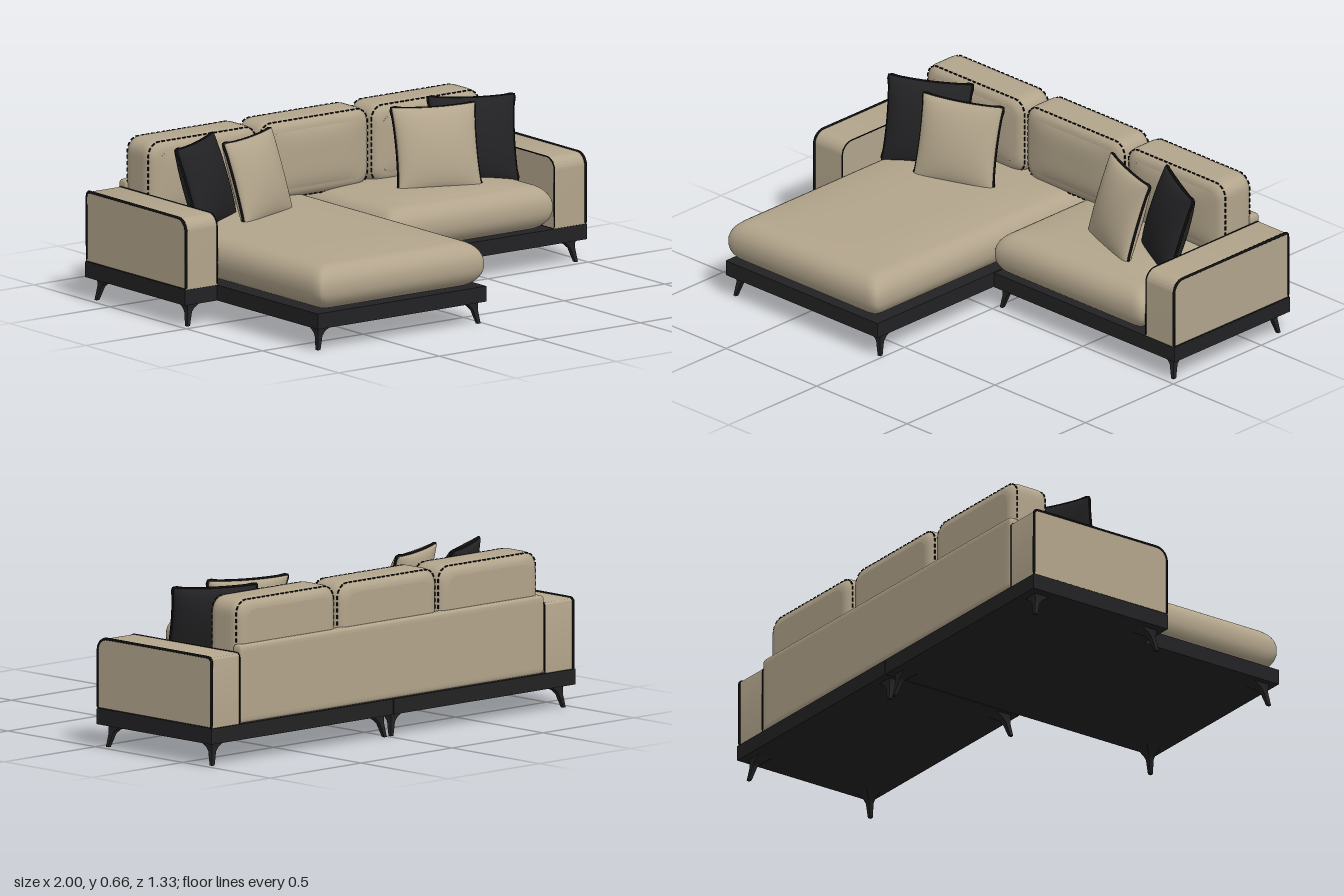
import * as THREE from 'three';
import { mergeVertices, mergeGeometries, toCreasedNormals } from 'three/addons/utils/BufferGeometryUtils.js';

const fabric = new THREE.MeshStandardMaterial({ color: 0xb3a58c });
fabric.name = 'beigeFabric';
const dark = new THREE.MeshStandardMaterial({ color: 0x222224 });
dark.name = 'charcoal';
const black = new THREE.MeshStandardMaterial({ color: 0x0e0e0e });
black.name = 'blackTrim';

function add(parent, name, geometry, material, x = 0, y = 0, z = 0) {
  const mesh = new THREE.Mesh(geometry, material);
  mesh.name = name;
  mesh.position.set(x, y, z);
  parent.add(mesh);
  return mesh;
}

// Apply a rule to every vertex, then weld and smooth
function reshape(geometry, rule) {
  const p = geometry.attributes.position, v = new THREE.Vector3();
  for (let i = 0; i < p.count; i++) {
    rule(v.fromBufferAttribute(p, i));
    p.setXYZ(i, v.x, v.y, v.z);
  }
  geometry.deleteAttribute('uv');
  geometry.deleteAttribute('normal');
  const welded = mergeVertices(geometry, 1e-5);
  welded.computeVertexNormals();
  return welded;
}

// Cushion: rounded plan corners, rounded rim and a crowned top
function cushion(w, h, d, edge, corner, crown) {
  return reshape(new THREE.BoxGeometry(2, 2, 2, 24, 16, 24), (v) => {
    const [sx, sy, sz] = v.toArray().map((t) => Math.sin(t * Math.PI / 2));
    let x = sx * w / 2, z = sz * d / 2;
    const cx = Math.max(0, Math.abs(x) - w / 2 + corner);
    const cz = Math.max(0, Math.abs(z) - d / 2 + corner);
    const k = Math.min(1, corner / (Math.hypot(cx, cz) || 1));
    x -= Math.sign(x) * cx * (1 - k);
    z -= Math.sign(z) * cz * (1 - k);
    const over = Math.max(0, Math.abs(sy) * h / 2 - h / 2 + edge) / edge;
    const inset = edge * (1 - Math.sqrt(Math.max(0, 1 - over * over)));
    const lift = sy > 0 ? sy * crown * (1 - sx ** 4) * (1 - sz ** 4) : 0;
    v.set(x * (1 - 2 * inset / w), sy * h / 2 + lift, z * (1 - 2 * inset / d));
  });
}

// Rounded rectangle outline in the XY plane, used for stitch lines
function roundedRect(w, h, r) {
  const s = new THREE.Shape(), a = w / 2, b = h / 2;
  s.absarc(a - r, b - r, r, 0, Math.PI / 2);
  s.absarc(-a + r, b - r, r, Math.PI / 2, Math.PI);
  s.absarc(-a + r, -b + r, r, Math.PI, Math.PI * 1.5);
  s.absarc(a - r, -b + r, r, Math.PI * 1.5, Math.PI * 2);
  s.closePath();
  return s;
}

// Row of short stitches following a flat outline
function stitches(outline, pitch, size) {
  const n = Math.round(outline.getLength() / pitch), dashes = [];
  for (let i = 0; i < n; i++) {
    const p = outline.getPointAt(i / n), t = outline.getTangentAt(i / n);
    dashes.push(new THREE.BoxGeometry(pitch * 0.6, size, size)
      .rotateZ(Math.atan2(t.y, t.x)).translate(p.x, p.y, 0));
  }
  return mergeGeometries(dashes);
}

// Outline point of a throw pillow, with pinched sides
function pillowPoint(u, v, s) {
  return [u * s * (1 - 0.05 * (1 - v * v)), v * s * (1 - 0.05 * (1 - u * u))];
}

function throwPillow(parent, name, material, x, z, turn) {
  const g = new THREE.Group(), s = 0.172;
  g.name = name;
  add(g, 'pillowBody', reshape(new THREE.BoxGeometry(2, 2, 2, 20, 2, 20).rotateX(Math.PI / 2), (v) => {
    const u = Math.sin(v.x * Math.PI / 2), w = Math.sin(v.y * Math.PI / 2);
    const puff = 0.008 + 0.05 * Math.sqrt(Math.max(0, (1 - u * u) * (1 - w * w)));
    v.set(...pillowPoint(u, w, s), v.z * puff);
  }), material);
  // Piping round the seam
  const pts = [];
  const sides = [[1, 0, 0, -1], [0, 1, 1, 0], [-1, 0, 0, 1], [0, -1, -1, 0]];
  for (const [dx, dy, ox, oy] of sides) {
    for (let i = 0; i < 8; i++) {
      const t = -1 + i / 4;
      pts.push(new THREE.Vector3(...pillowPoint(dx * t + ox, dy * t + oy, s), 0));
    }
  }
  const seam = new THREE.CatmullRomCurve3(pts, true);
  add(g, 'pillowPiping', new THREE.TubeGeometry(seam, 96, 0.006, 6, true), black);
  g.rotation.set(-0.3, turn, 0, 'YXZ');
  g.position.set(x, 0.49, z);
  parent.add(g);
}

// Side profile of an arm: drawn with z along the shape's x axis
function armProfile() {
  const s = new THREE.Shape(), back = -0.658, front = -0.01, top = 0.44;
  s.moveTo(back, 0.155);
  s.lineTo(front, 0.155);
  s.lineTo(front, top - 0.05);
  s.absarc(front - 0.05, top - 0.05, 0.05, 0, Math.PI / 2);
  s.lineTo(back + 0.015, top);
  s.absarc(back + 0.015, top - 0.015, 0.015, Math.PI / 2, Math.PI);
  s.closePath();
  return s;
}

function arm(parent, side) {
  const g = new THREE.Group(), profile = armProfile();
  g.name = side > 0 ? 'leftArm' : 'rightArm';
  const body = new THREE.ExtrudeGeometry(profile, { depth: 0.16, bevelEnabled: false, curveSegments: 10 });
  body.rotateY(-Math.PI / 2).translate(0.08, 0, 0);
  add(g, 'armBody', toCreasedNormals(body, 0.6), fabric, side * 0.917);
  for (const [x, r] of [[0.994, 0.006], [0.839, 0.003]]) {
    const path = new THREE.CurvePath();
    const pts = profile.getPoints(6).map((p) => new THREE.Vector3(side * x, p.y, p.x));
    for (let i = 0; i < pts.length; i++) {
      const next = pts[(i + 1) % pts.length];
      if (pts[i].distanceTo(next) > 1e-5) path.add(new THREE.LineCurve3(pts[i], next));
    }
    add(g, 'armPiping', new THREE.TubeGeometry(path, 160, r, 6, true), black);
  }
  parent.add(g);
}

// Splayed leg with a flared mount; sx and sz point to the outer corner
function legGeometry(sx, sz) {
  const rings = [[0, 0.007, 0], [0.055, 0.011, 0.012], [0.07, 0.017, 0.018], [0.092, 0.034, 0.034]];
  const g = new THREE.BoxGeometry(2, 3, 2, 1, 3, 1);
  const p = g.attributes.position;
  for (let i = 0; i < p.count; i++) {
    const [y, half, inward] = rings[Math.round(p.getY(i) + 1.5)];
    p.setXYZ(i, p.getX(i) * half - sx * inward, y, p.getZ(i) * half - sz * inward);
  }
  g.computeVertexNormals();
  return g;
}

export function createModel() {
  const sofa = new THREE.Group();
  sofa.name = 'cornerSofa';

  // Plinth: [x0, x1, z0, z1]
  const plinths = [[-1, -0.002, -0.665, -0.008], [0.002, 1, -0.665, -0.008], [-0.84, -0.002, -0.008, 0.652]];
  for (const [x0, x1, z0, z1] of plinths) {
    add(sofa, 'plinth', new THREE.BoxGeometry(x1 - x0, 0.063, z1 - z0), dark,
      (x0 + x1) / 2, 0.1235, (z0 + z1) / 2);
  }

  // Legs: [x, z, outward x, outward z]
  const legs = [
    [-0.815, 0.62, -1, 1], [-0.018, 0.62, 1, 1],
    [-0.965, -0.038, -1, 1], [0.965, -0.038, 1, 1], [0.018, -0.038, -1, 1],
    [-0.965, -0.632, -1, -1], [0.965, -0.632, 1, -1],
    [-0.018, -0.632, 1, -1], [0.018, -0.632, -1, -1],
  ];
  for (const [x, z, sx, sz] of legs) add(sofa, 'leg', legGeometry(sx, sz), dark, x, 0, z);

  // Arms and back panel
  arm(sofa, 1);
  arm(sofa, -1);
  add(sofa, 'backPanel', cushion(1.67, 0.315, 0.05, 0.012, 0.012, 0), fabric, 0, 0.3125, -0.637);

  // Seat cushions: [name, centre x, width, front z]
  for (const [name, x, w, front] of [['chaiseSeat', -0.42, 0.836, 0.663], ['seat', 0.418, 0.832, 0.012]]) {
    const d = front + 0.62, z = front - d / 2;
    add(sofa, name, cushion(w, 0.182, d, 0.085, 0.04, 0.014), fabric, x, 0.246, z);
    const line = stitches(roundedRect(w - 0.06, d - 0.06, 0.03), 0.022, 0.004).rotateX(Math.PI / 2);
    add(sofa, 'seatStitching', line, black, x, 0.182, z);
  }

  // Back cushions with stitched rims
  for (const x of [-0.557, -0.003, 0.553]) {
    const g = new THREE.Group(), w = 0.546, h = 0.325;
    g.name = 'backCushion';
    g.position.set(x, 0.486, -0.55);
    add(g, 'cushionBody', cushion(w, 0.18, h, 0.045, 0.06, 0.012).rotateX(Math.PI / 2), fabric);
    for (const z of [-0.068, 0.068]) {
      add(g, 'cushionStitching', stitches(roundedRect(w - 0.011, h - 0.011, 0.055), 0.026, 0.005), black, 0, 0, z);
    }
    sofa.add(g);
  }

  // Throw pillows
  for (const s of [-1, 1]) {
    throwPillow(sofa, 'darkPillow', dark, s * 0.665, -0.315, -s * 0.49);
    throwPillow(sofa, 'lightPillow', fabric, s * 0.445, -0.265, -s * 0.35);
  }
  return sofa;
}
